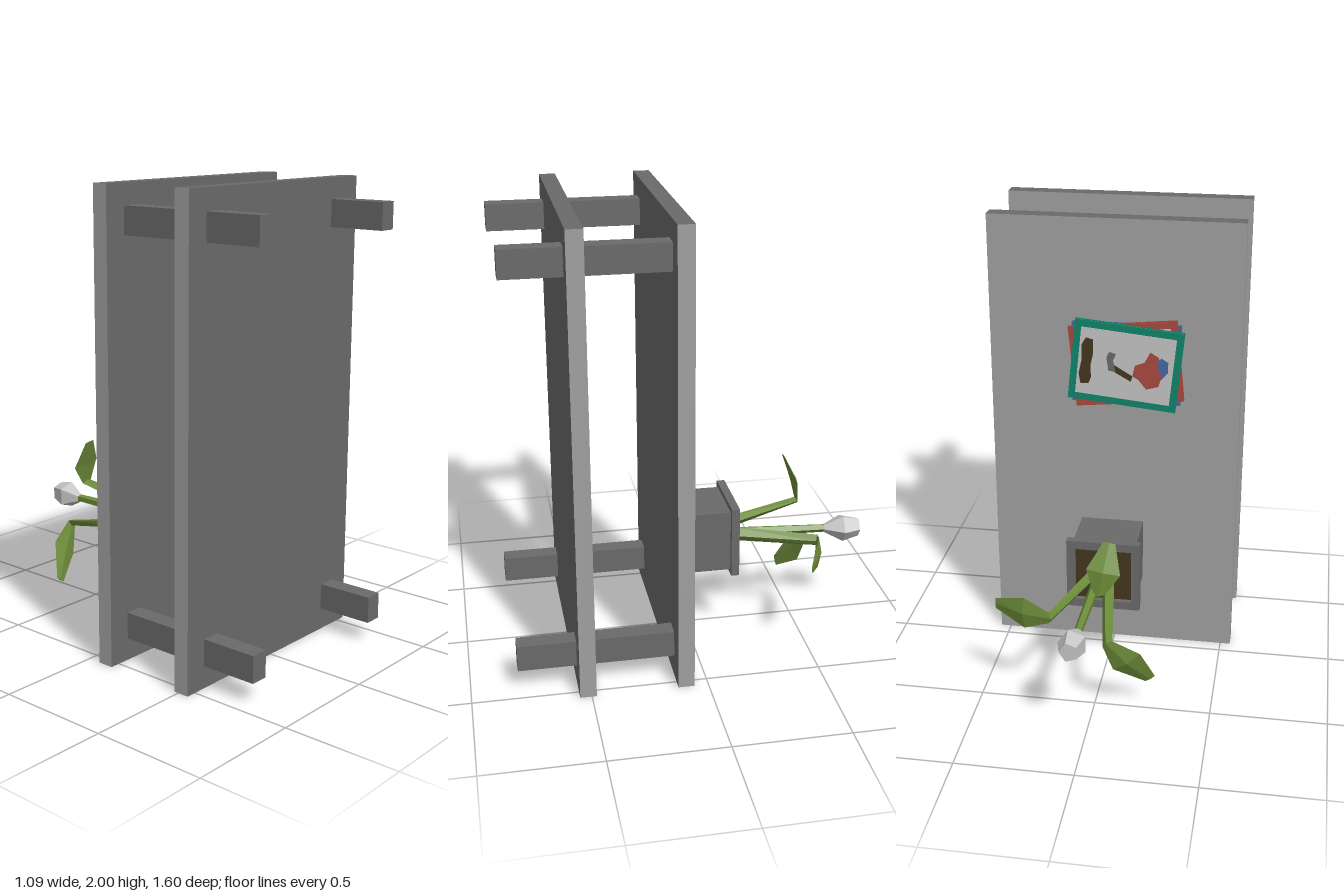
import * as THREE from 'three';

const mat = (name, color, side = THREE.FrontSide) => {
  const m = new THREE.MeshStandardMaterial({ color, side });
  m.name = name;
  return m;
};

// Faceted loft; each ring is [x, y, z, halfWidth, halfThickness], width runs along dir
function loft(rings, dir, sides) {
  const W = new THREE.Vector3(...dir).normalize();
  const P = rings.map((r) => new THREE.Vector3(r[0], r[1], r[2]));
  const pos = [], idx = [];
  rings.forEach((r, i) => {
    const d = P[Math.min(i + 1, P.length - 1)].clone().sub(P[Math.max(i - 1, 0)]).normalize();
    const N = d.cross(W).normalize();
    for (let j = 0; j < sides; j++) {
      const a = (j / sides) * Math.PI * 2;
      const p = P[i].clone().addScaledVector(W, Math.cos(a) * r[3]).addScaledVector(N, Math.sin(a) * r[4]);
      pos.push(p.x, p.y, p.z);
    }
  });
  const last = (rings.length - 1) * sides;
  for (let i = 0; i < last; i += sides) {
    for (let j = 0; j < sides; j++) {
      const k = (j + 1) % sides;
      idx.push(i + j, i + k, i + sides + k, i + j, i + sides + k, i + sides + j);
    }
  }
  for (let j = 1; j < sides - 1; j++) idx.push(0, j + 1, j, last, last + j, last + j + 1);
  const g = new THREE.BufferGeometry();
  g.setAttribute('position', new THREE.Float32BufferAttribute(pos, 3));
  g.setIndex(idx);
  const flat = g.toNonIndexed();
  flat.computeVertexNormals();
  return flat;
}

export function createModel() {
  const model = new THREE.Group();
  const dark = mat('dark grey', 0x6a6a6a);
  const light = mat('light grey', 0xa0a0a0);
  const pale = mat('pale grey', 0xc4c4c4);
  const green = mat('leaf green', 0x6d8c3a);
  const soil = mat('soil brown', 0x43361f);
  const teal = mat('teal', 0x10846a);
  const red = mat('red', 0xa84a3e);
  const blue = mat('blue', 0x4468a4);

  const add = (parent, name, geometry, material) => {
    const m = new THREE.Mesh(geometry, material);
    m.name = name;
    parent.add(m);
    return m;
  };
  const box = (parent, name, material, w, h, d, x, y, z) => {
    const m = add(parent, name, new THREE.BoxGeometry(w, h, d), material);
    m.position.set(x, y, z);
    return m;
  };

  // Table lying on its side: two boards with lighter top and long edges, four legs
  const boardMats = [light, light, dark, dark, dark, light];
  box(model, 'tableTop', boardMats, 1.09, 2, 0.07, 0, 1, 0.095);
  box(model, 'shelf', boardMats, 1.09, 2, 0.07, 0, 1, 0.515);
  for (const x of [-0.405, 0.405]) {
    for (const y of [0.155, 1.853]) box(model, 'leg', dark, 0.08, 0.116, 0.67, x, y, 0.465);
  }

  // Stack of magazines: pages between two covers, with a pale front panel
  const magazine = (name, cover, x, y, z, angle) => {
    const g = new THREE.Group();
    g.name = name;
    g.position.set(x, y, z);
    g.rotation.z = angle;
    box(g, 'pages', pale, 0.462, 0.352, 0.012, 0, 0, 0);
    for (const s of [-1, 1]) box(g, 'cover', cover, 0.47, 0.36, 0.004, 0, 0, s * 0.008);
    box(g, 'coverPanel', pale, 0.41, 0.3, 0.002, 0, 0, -0.0105);
    model.add(g);
    return g;
  };
  magazine('bottomMagazine', blue, -0.053, 1.372, 0.05, 0);
  magazine('middleMagazine', red, -0.055, 1.378, 0.03, -0.1);
  const top = magazine('topMagazine', teal, -0.055, 1.376, 0.0115, 0.1);

  // Cover picture: thin flat shapes
  const patch = (name, material, points, z) => {
    const shape = new THREE.Shape(points.map(([x, y]) => new THREE.Vector2(x, y)));
    const geo = new THREE.ExtrudeGeometry(shape, { depth: 0.002, bevelEnabled: false });
    add(top, name, geo, material).position.z = z;
  };
  patch('titleStrip', soil, [[0.15, -0.1], [0.185, -0.105], [0.197, -0.06], [0.19, 0], [0.197, 0.07],
    [0.18, 0.105], [0.15, 0.1], [0.143, 0.04], [0.15, -0.02], [0.142, -0.07]], -0.013);
  patch('blueFigure', blue, [[-0.11, -0.06], [-0.15, -0.05], [-0.185, 0], [-0.18, 0.045], [-0.15, 0.06],
    [-0.12, 0.03]], -0.013);
  patch('redFigure', red, [[-0.1, -0.09], [-0.15, -0.07], [-0.16, -0.02], [-0.135, 0.02], [-0.14, 0.06],
    [-0.1, 0.08], [-0.08, 0.03], [-0.04, 0.01], [-0.035, -0.04], [-0.06, -0.05]], -0.0135);
  patch('toolHandle', soil, [[0.05, 0], [-0.035, -0.04], [-0.03, -0.065], [0.06, -0.025]], -0.013);
  patch('toolHead', dark, [[0.04, -0.03], [0.07, -0.03], [0.085, 0.03], [0.075, 0.055], [0.045, 0.05],
    [0.055, 0.02]], -0.0135);

  // Square pot with an open rim and sunken soil
  const pot = new THREE.Group();
  pot.name = 'pot';
  pot.position.set(0.009, 0.47, 0);
  model.add(pot);
  box(pot, 'potBody', dark, 0.28, 0.28, 0.24, 0, 0, -0.06);
  const square = (C, r) => new C([[-r, -r], [r, -r], [r, r], [-r, r]].map(([x, y]) => new THREE.Vector2(x, y)));
  const rim = square(THREE.Shape, 0.162);
  rim.holes.push(square(THREE.Path, 0.125));
  add(pot, 'potRim', new THREE.ExtrudeGeometry(rim, { depth: 0.036, bevelEnabled: false }), dark).position.z = -0.216;
  box(pot, 'soil', soil, 0.25, 0.25, 0.012, 0, 0, -0.186);

  // Bent leaves: stem from base to knee, then a flat blade from knee to tip
  const leaf = (name, base, knee, tip, dir) => {
    const blade = (t, w, h) => {
      const p = knee.map((k, i) => k + (tip[i] - k) * t);
      p[2] -= 0.06 * t * (1 - t);
      return [...p, w, h];
    };
    const rings = [[...base, 0.034, 0.027], [...knee, 0.026, 0.015], blade(0.45, 0.072, 0.014), blade(1, 0.025, 0.003)];
    add(model, name, loft(rings, dir, 4), green);
  };
  leaf('sideLeaf', [0.055, 0.465, -0.185], [0.18, 0.455, -0.57], [0.43, 0.45, -0.478], [0, 1, 0]);
  leaf('upperLeaf', [0.015, 0.495, -0.185], [-0.025, 0.565, -0.525], [-0.06, 0.775, -0.468], [1, 0.15, 0]);
  leaf('lowerLeaf', [-0.01, 0.43, -0.185], [-0.07, 0.36, -0.585], [-0.24, 0.145, -0.492], [0.8, -0.6, 0]);

  // Flower bud on a straight stem
  add(model, 'budStem', loft([[0.03, 0.455, -0.185, 0.025, 0.025], [0.045, 0.443, -0.66, 0.018, 0.018]], [1, 0, 0], 5), green);
  add(model, 'bud', loft([[0.045, 0.443, -0.64, 0.018, 0.018], [0.05, 0.442, -0.725, 0.064, 0.064],
    [0.055, 0.443, -0.8, 0.04, 0.045]], [1, 0, 0], 5), pale);

  return model;
}
